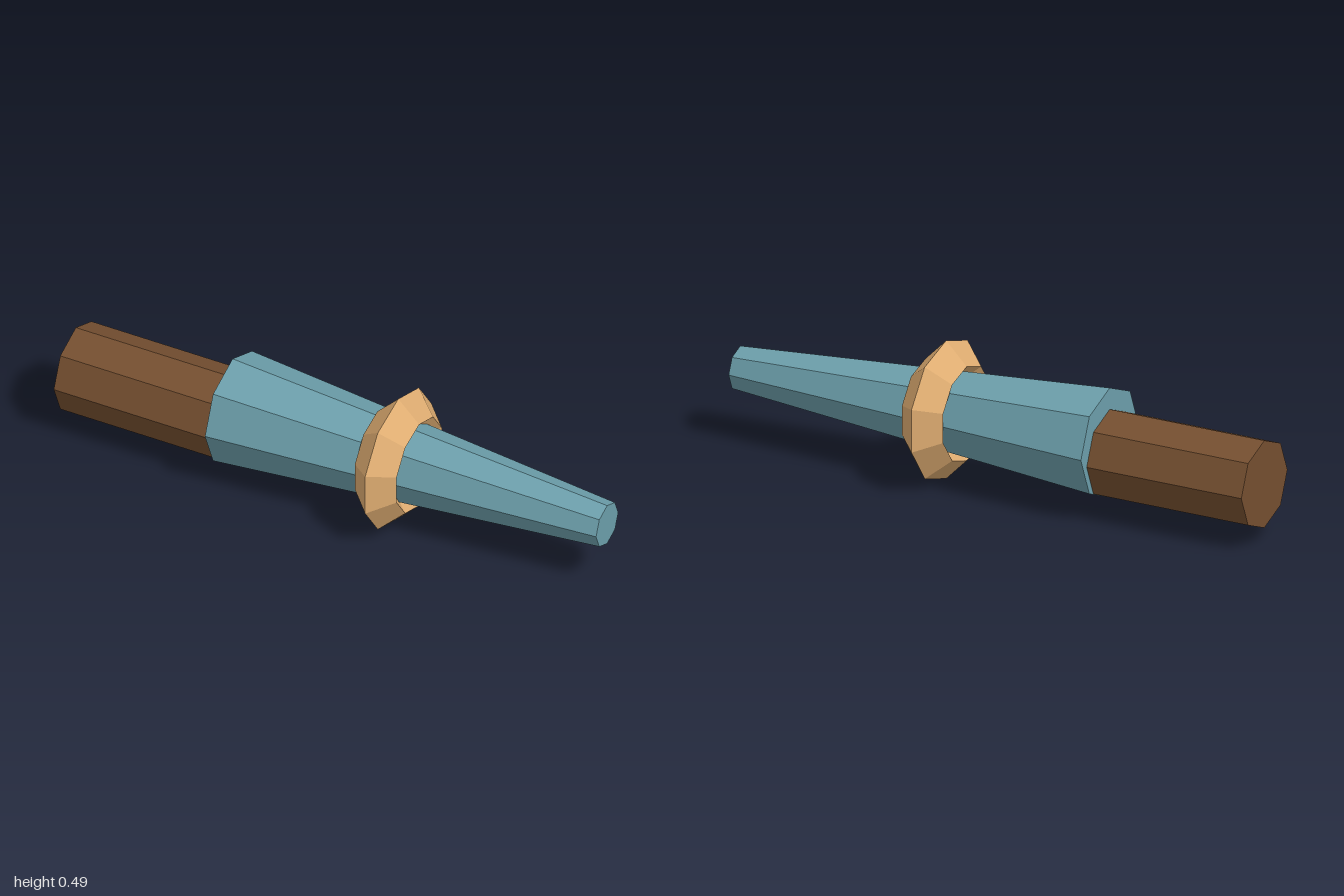
import * as THREE from 'three';

const material = (name, color) => {
  const m = new THREE.MeshStandardMaterial({ color, flatShading: true });
  m.name = name;
  return m;
};

export function createModel() {
  const group = new THREE.Group();
  const blue = material('dusty blue', 0x6c9fab);
  const brown = material('dark brown', 0x754f30);
  const tan = material('tan', 0xdeac71);

  const add = (name, geometry, mat, x, y) => {
    const mesh = new THREE.Mesh(geometry, mat);
    mesh.name = name;
    mesh.position.set(x, y, 0);
    group.add(mesh);
  };

  // Octagonal bar along x, from x0 (radius r0) to x1 (radius r1)
  const bar = (name, mat, x0, x1, r0, r1, y) => {
    const geometry = new THREE.CylinderGeometry(r1, r0, x1 - x0, 8).rotateZ(-Math.PI / 2);
    add(name, geometry, mat, (x0 + x1) / 2, y);
  };

  // Straight handle, sitting slightly below the axis of the tapered body
  bar('handle', brown, -1, -0.4, 0.155, 0.155, 0.209);
  bar('taperedBody', blue, -0.41, 1, 0.194, 0.078, 0.246);

  // Ten-sided ring with a diamond section, one corner pointing up
  const ring = new THREE.TorusGeometry(0.167, 0.0785, 4, 10)
    .rotateZ(Math.PI / 2)
    .rotateY(Math.PI / 2);
  add('ring', ring, tan, 0.214, 0.2455);

  return group;
}
